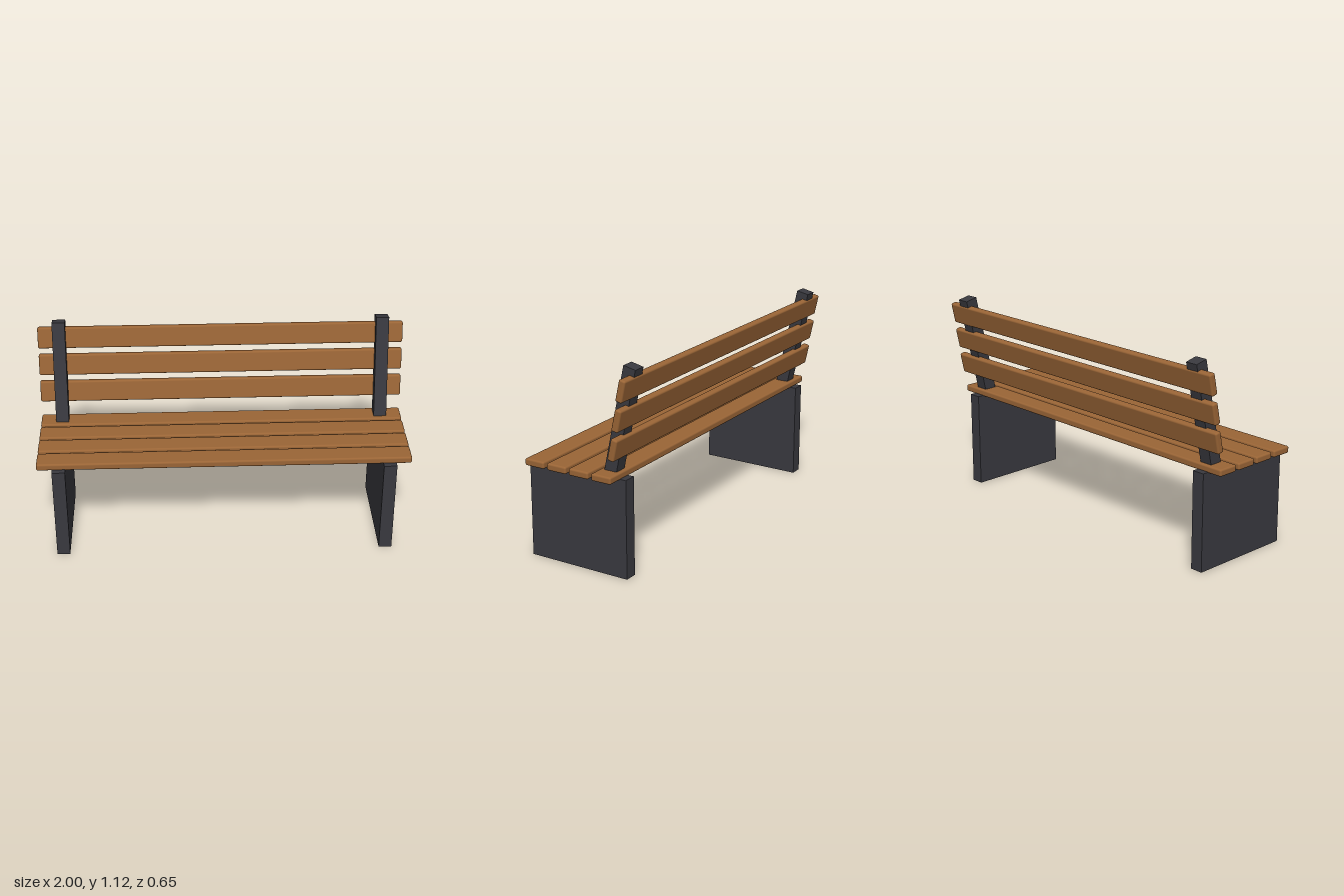
import * as THREE from 'three';
import { RoundedBoxGeometry } from 'three/addons/geometries/RoundedBoxGeometry.js';

export function createModel() {
  const bench = new THREE.Group();
  bench.name = 'bench';

  const wood = new THREE.MeshStandardMaterial({ color: 0x9a6536 });
  wood.name = 'warm wood';
  const metal = new THREE.MeshStandardMaterial({ color: 0x39393f });
  metal.name = 'dark metal';

  const lean = 0.215; // backward tilt of the backrest

  function add(name, geometry, material, x, y, z, tilt = 0) {
    const mesh = new THREE.Mesh(geometry, material);
    mesh.name = name;
    mesh.position.set(x, y, z);
    mesh.rotation.x = -tilt;
    bench.add(mesh);
  }

  // Solid side panels and leaning back posts
  const panel = new THREE.BoxGeometry(0.07, 0.53, 0.588);
  const post = new THREE.BoxGeometry(0.07, 0.59, 0.07);
  for (const [side, x] of [['left', 0.882], ['right', -0.882]]) {
    add(side + 'LegPanel', panel, metal, x, 0.265, 0.031);
    add(side + 'BackPost', post, metal, x, 0.821, -0.229, lean);
  }

  // One rounded plank shape serves the seat and the backrest
  const plank = new RoundedBoxGeometry(2, 0.038, 0.117, 3, 0.01);
  for (let i = 0; i < 4; i++) {
    add('seatSlat' + (i + 1), plank, wood, 0, 0.544, 0.235 - i * 0.135);
  }
  const backPlank = plank.clone().rotateX(Math.PI / 2);
  for (let i = 0; i < 3; i++) {
    add('backSlat' + (i + 1), backPlank, wood, 0, 0.706 + i * 0.153, -0.24 - i * 0.026, lean);
  }

  return bench;
}
